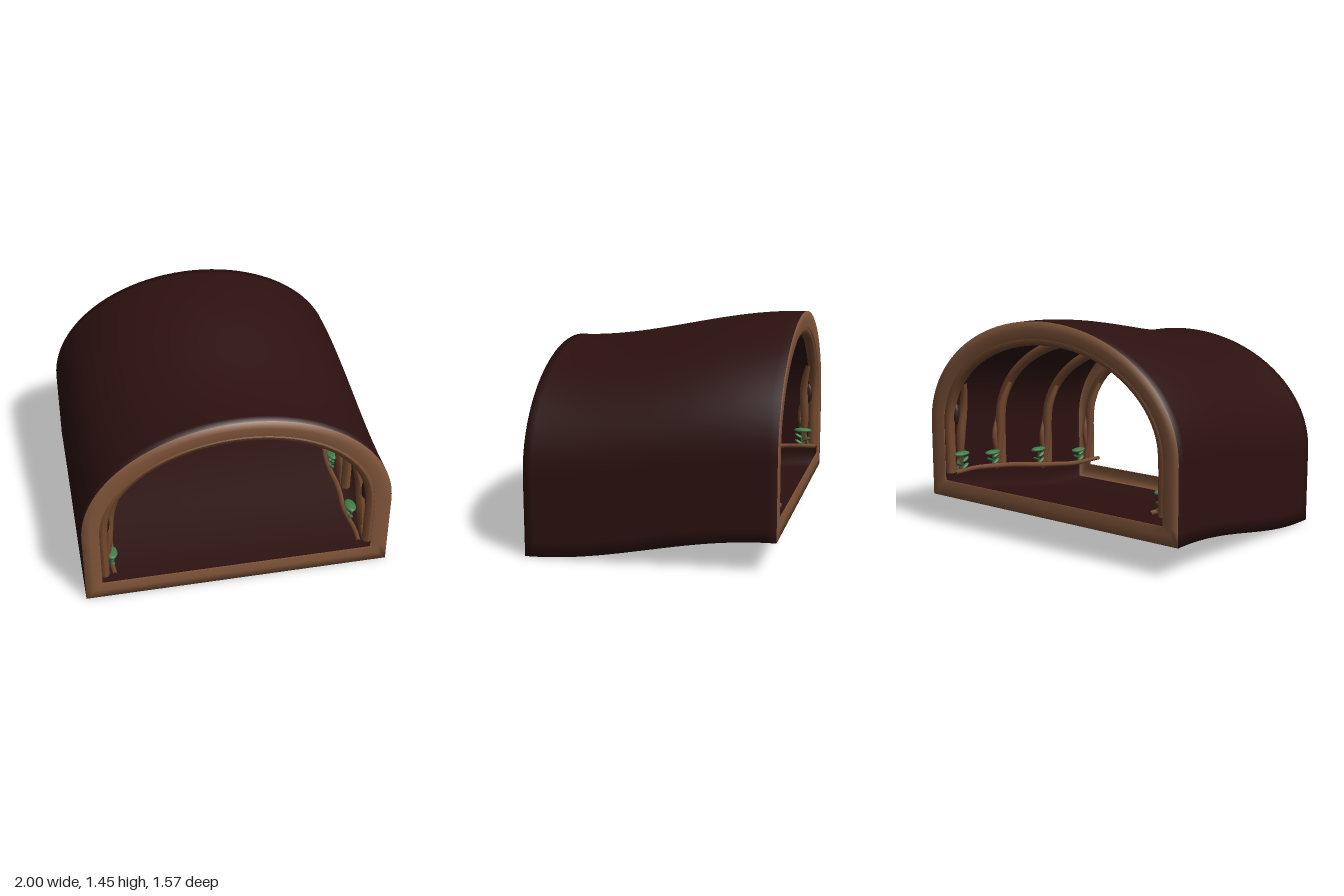
import * as THREE from 'three';

const HALF = 0.785;
// S-shaped climb of the tunnel from front to back
const rise = (z) => 0.1 * (1 - Math.sin((Math.PI / 2) * THREE.MathUtils.clamp(z / HALF, -1, 1)));

const mat = (name, color, side = THREE.FrontSide) => {
  const m = new THREE.MeshStandardMaterial({ color, side });
  m.name = name;
  return m;
};

// Arched cross-section, counter-clockwise, inset by d
function section(d) {
  const pts = [], w = 1 - d, spring = 0.5, b = 0.745 - d;
  for (let i = 0; i < 16; i++) pts.push([-w + (2 * w * i) / 16, d]);
  for (let i = 0; i < 6; i++) pts.push([w, d + ((spring - d) * i) / 6]);
  for (let i = 0; i <= 48; i++) {
    const a = (Math.PI * i) / 48;
    pts.push([w * Math.cos(a), spring + b * Math.sin(a)]);
  }
  for (let i = 1; i < 6; i++) pts.push([-w, spring + ((d - spring) * i) / 6]);
  return pts;
}

// Tunnel skin with a rim at each end, made of rings running front to back
function tunnelGeometry() {
  const rings = [[0.11, HALF - 0.01], [0.11, HALF], [0.055, HALF]];
  const steps = 28;
  for (let i = 0; i <= steps; i++) rings.push([0, HALF - (2 * HALF * i) / steps]);
  rings.push([0.055, -HALF], [0.11, -HALF], [0.11, -HALF + 0.01]);
  const pos = [], index = [], n = section(0).length;
  for (const [d, z] of rings) for (const [x, y] of section(d)) pos.push(x, y + rise(z), z);
  for (let r = 0; r < rings.length - 1; r++) {
    for (let j = 0; j < n; j++) {
      const a = r * n + j, b = r * n + ((j + 1) % n), c = a + n, e = b + n;
      index.push(a, c, b, b, c, e);
    }
  }
  const g = new THREE.BufferGeometry();
  g.setAttribute('position', new THREE.Float32BufferAttribute(pos, 3));
  g.setIndex(index);
  g.computeVertexNormals();
  const band = n * 6;
  g.addGroup(0, 3 * band, 1);
  g.addGroup(3 * band, steps * band, 0);
  g.addGroup((3 + steps) * band, 3 * band, 1);
  return g;
}

// Tube along points, narrowed towards both ends by taper
function rootGeometry(points, radius, taper = 0, segments = 16, sides = 8) {
  const curve = new THREE.CatmullRomCurve3(points.map((p) => new THREE.Vector3(...p)));
  const g = new THREE.TubeGeometry(curve, segments, radius, sides);
  const p = g.attributes.position, v = new THREE.Vector3();
  for (let i = 0; i < p.count; i++) {
    const t = Math.floor(i / (sides + 1)) / segments;
    const c = curve.getPointAt(t);
    v.fromBufferAttribute(p, i).sub(c).multiplyScalar(1 - taper * Math.pow(Math.abs(2 * t - 1), 2)).add(c);
    p.setXYZ(i, v.x, v.y, v.z);
  }
  g.computeVertexNormals();
  return g;
}

export function createModel() {
  const model = new THREE.Group();
  const earth = mat('dark earth', 0x2c1110, THREE.DoubleSide);
  const rimWood = mat('rim wood', 0x80553a, THREE.DoubleSide);
  const wood = mat('root wood', 0x74492f);
  const bark = mat('dark bark', 0x2e1a12);
  const leaf = mat('leaf green', 0x3f7d49);
  const stemGreen = mat('stem green', 0x35603a);

  const add = (parent, name, geometry, material) => {
    const m = new THREE.Mesh(geometry, material);
    m.name = name;
    parent.add(m);
    return m;
  };

  add(model, 'tunnelShell', tunnelGeometry(), [earth, rimWood]);

  // Four arched ribs, each with leaning root posts on both walls
  [0.752, 0.25, -0.25, -0.745].forEach((z, k) => {
    const rib = new THREE.Group();
    rib.name = 'rib';
    rib.position.set(0, rise(z), z);
    model.add(rib);
    const path = [[0.87, 0.16, 0], [0.87, 0.33, 0]];
    for (let i = 0; i <= 16; i++) {
      const a = (Math.PI * i) / 16;
      path.push([0.87 * Math.cos(a), 0.5 + 0.625 * Math.sin(a), 0]);
    }
    path.push([-0.87, 0.33, 0], [-0.87, 0.16, 0]);
    add(rib, 'archBeam', rootGeometry(path, 0.034, 0, 64), wood);

    const inward = k === 0 ? -1 : 1;
    for (const s of [-1, 1]) {
      const lean = (k === 3 ? 1 : -1) * 0.07;
      add(rib, 'leaningRoot', rootGeometry(
        [[s * 0.855, 0.16, lean], [s * 0.83, 0.38, lean * 0.8], [s * 0.805, 0.6, lean * 0.9], [s * 0.75, 0.78, lean * 0.4]],
        0.03, 0.5), wood);
      add(rib, 'thinRoot', rootGeometry(
        [[s * 0.85, 0.16, lean * 0.4], [s * 0.845, 0.4, lean * 1.3], [s * 0.84, 0.62, lean * 0.3]],
        0.018, 0.4), wood);
      const knot = add(rib, 'barkKnot', new THREE.SphereGeometry(1, 10, 8), bark);
      knot.scale.set(0.02, 0.07, 0.028);
      knot.position.set(s * 0.835, 0.56, lean * 0.45 * Math.abs(inward));
    }
  });

  // Root rail along the foot of each wall
  for (const s of [-1, 1]) {
    const pts = [];
    for (let i = 0; i <= 14; i++) {
      const z = 0.78 - (1.56 * i) / 14;
      pts.push([s * (0.805 + 0.008 * Math.sin(i * 1.7)), rise(z) + 0.175, z]);
    }
    add(model, 'rootRail', rootGeometry(pts, 0.018, 0.2, 48, 8), wood);

    // Small leafy plants growing beside the rail
    const spots = s > 0 ? [0.54, 0.08, -0.4, -0.7] : [0.68, 0.22, -0.28, -0.68];
    spots.forEach((z, k) => {
      const plant = new THREE.Group();
      plant.name = 'plant';
      plant.position.set(s * 0.82, rise(z) + 0.16, z);
      model.add(plant);
      const h = 0.11 + 0.02 * (k % 2);
      add(plant, 'stem', rootGeometry([[0, 0, 0], [0, h * 0.5, 0.012], [-s * 0.01, h, 0]], 0.008, 0.2, 8, 6), stemGreen);
      const crown = add(plant, 'leafCrown', new THREE.SphereGeometry(1, 12, 8), leaf);
      crown.scale.set(0.038, 0.016, 0.065);
      crown.position.set(-s * 0.008, h, 0);
      for (let i = 0; i < 4; i++) {
        const l = add(plant, 'leaf', new THREE.SphereGeometry(1, 8, 6), i % 2 ? leaf : stemGreen);
        l.scale.set(0.016, 0.01, 0.032);
        l.position.set(-s * 0.01, 0.02 + i * 0.022, i % 2 ? 0.03 : -0.03);
        l.rotation.x = i % 2 ? -0.5 : 0.5;
      }
    });
  }
  return model;
}
